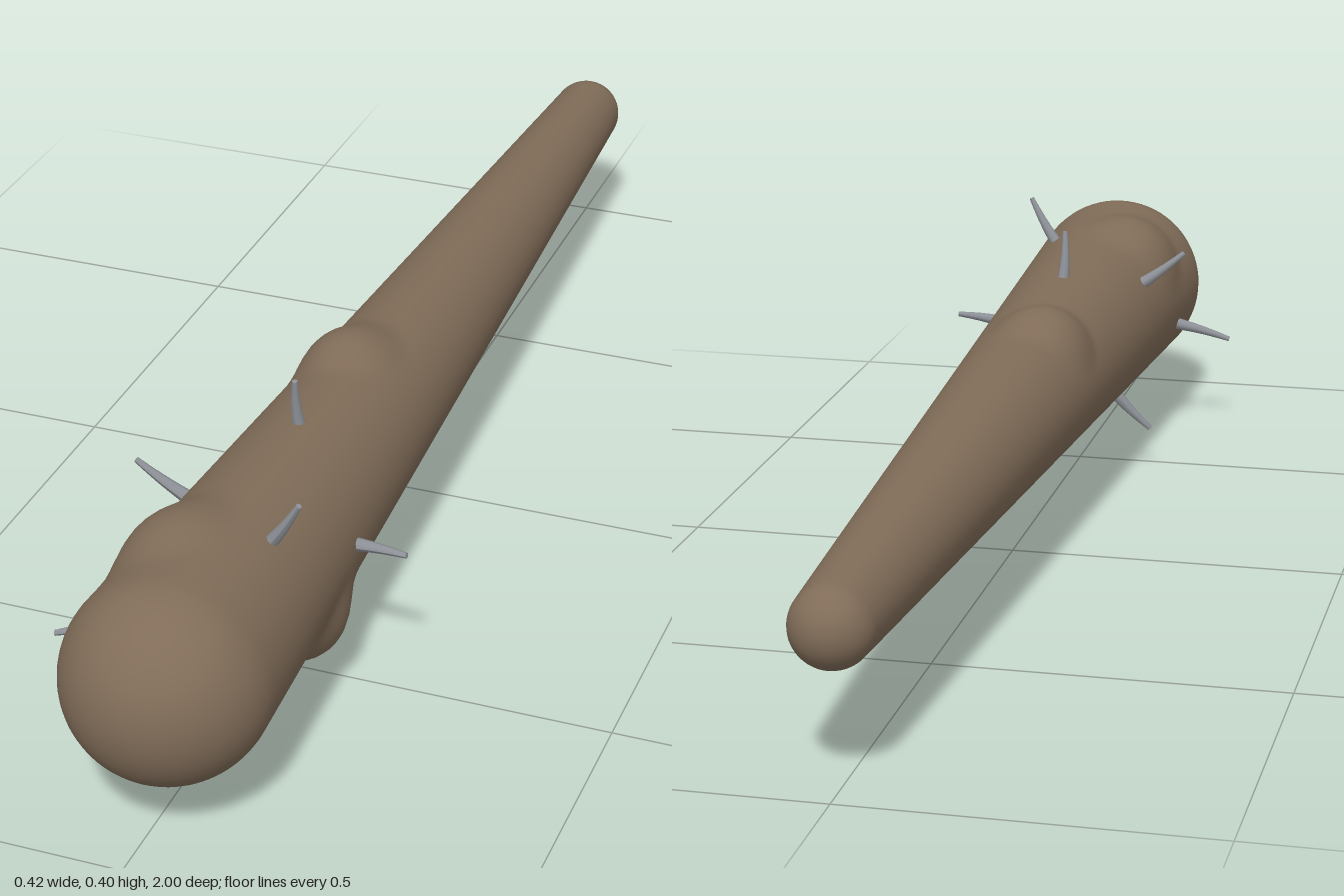
import * as THREE from 'three';
import { mergeVertices } from 'three/addons/utils/BufferGeometryUtils.js';

const CX = 0.01, CY = 0.217;          // axis of the club
const HEAD_R = 0.142, GRIP_R = 0.056;
const HEAD_Z = 1 - HEAD_R, GRIP_Z = -1 + GRIP_R;

const radiusAt = z => THREE.MathUtils.mapLinear(z, GRIP_Z, HEAD_Z, GRIP_R, HEAD_R);

// Knots in the wood: angle around the axis (degrees), z, height, reach
const knots = [
  [122, 0.71, 0.022, 0.11],
  [108, 0.15, 0.024, 0.1],
  [-55, 0.55, 0.038, 0.1],
];

// Nails: tip x, tip y, z at the wood
const nails = [
  [0.008, 0.408, 0.395],
  [0.125, 0.397, 0.675],
  [0.209, 0.234, 0.5],
  [0.046, 0.006, 0.62],
  [-0.124, 0.073, 0.45],
  [-0.208, 0.157, 0.728],
  [-0.157, 0.343, 0.56],
];

function clubGeometry() {
  // Tapered profile with a round cap at each end
  const profile = [];
  for (let i = 0; i < 12; i++) {
    const a = (i / 12) * Math.PI / 2;
    profile.push(new THREE.Vector2(GRIP_R * Math.sin(a), GRIP_Z - GRIP_R * Math.cos(a)));
  }
  for (let i = 0; i <= 110; i++) {
    const z = THREE.MathUtils.lerp(GRIP_Z, HEAD_Z, i / 110);
    profile.push(new THREE.Vector2(radiusAt(z), z));
  }
  for (let i = 1; i <= 16; i++) {
    const a = (i / 16) * Math.PI / 2;
    profile.push(new THREE.Vector2(i === 16 ? 0 : HEAD_R * Math.cos(a), HEAD_Z + HEAD_R * Math.sin(a)));
  }
  let geo = new THREE.LatheGeometry(profile, 72);
  geo.rotateX(Math.PI / 2);
  geo.deleteAttribute('uv');
  geo.deleteAttribute('normal');
  geo = mergeVertices(geo, 1e-5);

  // Swell the wood outward around each knot
  const pos = geo.attributes.position, p = new THREE.Vector3(), c = new THREE.Vector3();
  for (let i = 0; i < pos.count; i++) {
    p.fromBufferAttribute(pos, i);
    let swell = 0;
    for (const [deg, z, height, reach] of knots) {
      const a = THREE.MathUtils.degToRad(deg), r = radiusAt(z);
      c.set(Math.cos(a) * r, Math.sin(a) * r, z);
      const d = p.distanceTo(c) / reach;
      if (d < 1) swell += height * (1 - d * d) ** 2;
    }
    const r = Math.hypot(p.x, p.y);
    if (swell && r > 1e-4) pos.setXY(i, p.x * (1 + swell / r), p.y * (1 + swell / r));
  }
  geo.computeVertexNormals();
  return geo;
}

// Tapered, slightly bent nail from the wood out to its tip
function nailGeometry(length, bend) {
  const geo = new THREE.CylinderGeometry(0.004, 0.0105, length, 8, 5);
  geo.translate(0, length / 2, 0);
  const pos = geo.attributes.position;
  for (let i = 0; i < pos.count; i++) {
    const t = pos.getY(i) / length;
    pos.setX(i, pos.getX(i) + bend * Math.sin(t * Math.PI));
  }
  geo.computeVertexNormals();
  return geo;
}

export function createModel() {
  const group = new THREE.Group();
  group.name = 'spikedClub';
  const wood = new THREE.MeshStandardMaterial({ color: 0x806c58 });
  const iron = new THREE.MeshStandardMaterial({ color: 0x8e9298 });

  const club = new THREE.Mesh(clubGeometry(), wood);
  club.name = 'club';
  club.position.set(CX, CY, 0);
  group.add(club);

  const up = new THREE.Vector3(0, 1, 0);
  nails.forEach(([x, y, z], i) => {
    const a = Math.atan2(y - CY, x - CX), r = radiusAt(z) - 0.015;
    const base = new THREE.Vector3(CX + Math.cos(a) * r, CY + Math.sin(a) * r, z);
    const dir = new THREE.Vector3(x, y, z + 0.014).sub(base);
    const nail = new THREE.Mesh(nailGeometry(dir.length(), i % 2 ? 0.002 : -0.002), iron);
    nail.name = `nail${i + 1}`;
    nail.position.copy(base);
    nail.quaternion.setFromUnitVectors(up, dir.normalize());
    group.add(nail);
  });
  return group;
}
